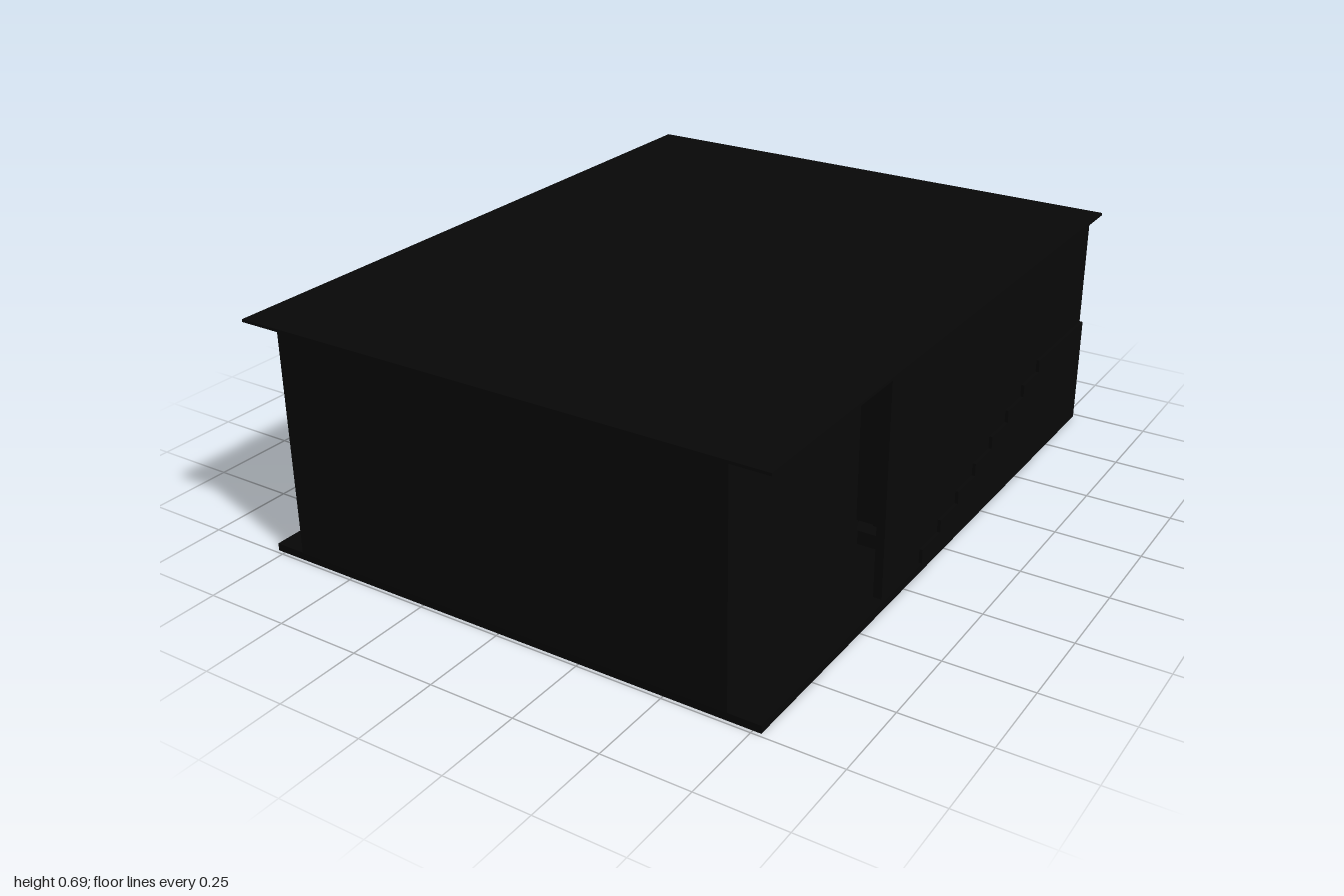
import * as THREE from 'three';

export function createModel() {
  const model = new THREE.Group();
  model.name = 'auditorium';
  const shell = new THREE.MeshStandardMaterial({ color: 0x080808 });
  shell.name = 'near black';
  const dark = new THREE.MeshStandardMaterial({ color: 0x060606 });
  dark.name = 'deep black';

  // Box given by its minimum and maximum corners
  function box(name, [x0, y0, z0], [x1, y1, z1], material = shell, parent = model) {
    const mesh = new THREE.Mesh(new THREE.BoxGeometry(x1 - x0, y1 - y0, z1 - z0), material);
    mesh.position.set((x0 + x1) / 2, (y0 + y1) / 2, (z0 + z1) / 2);
    mesh.name = name;
    parent.add(mesh);
  }

  const BACK = -0.985, FRONT = 0.99, T = 0.01;
  const STEPS = 8, RISE = 0.038, RUN = 0.11, FLOOR = 0.022, FIRST = 0.14;
  const stepFront = i => FIRST - i * RUN;
  const stepTop = i => 0.026 + (i + 1) * RISE;

  // Roof, and a flat floor panel set into a shallow rim
  box('roof', [-0.794, 0.682, -1], [0.794, 0.69, 1]);
  box('floor', [-0.68, 0.008, FIRST], [0.68, FLOOR, FRONT - 0.015], dark);
  box('floorFrontRim', [-0.68, 0, FRONT - 0.015], [0.68, FLOOR, FRONT], dark);

  // End walls
  box('screenWall', [-0.68, FLOOR, FRONT - T], [0.68, 0.682, FRONT]);
  box('screen', [-0.6, 0.12, FRONT - T - 0.006], [0.6, 0.58, FRONT - T], dark);
  box('backWall', [-0.763, 0, BACK], [0.763, 0.682, BACK + T]);

  // Stepped outline of the seating bank; shape x runs along -z
  const profile = new THREE.Shape();
  profile.moveTo(-FIRST, 0);
  for (let i = 0; i < STEPS; i++) {
    profile.lineTo(-stepFront(i), stepTop(i));
    profile.lineTo(i === STEPS - 1 ? -BACK : -stepFront(i + 1), stepTop(i));
  }
  profile.lineTo(-BACK, 0);
  const skirtGeometry = new THREE.ExtrudeGeometry(profile, { depth: T, bevelEnabled: false });
  skirtGeometry.rotateY(Math.PI / 2);

  // Side walls, narrower beside the screen, with a doorway in each return
  for (const s of [-1, 1]) {
    const span = (name, a, b, y0, z0, y1, z1, material) =>
      box(name, [Math.min(s * a, s * b), y0, z0], [Math.max(s * a, s * b), y1, z1], material);
    span('floorSideRim', 0.68, 0.773, 0, FIRST, FLOOR, FRONT, dark);
    span('sideWall', 0.753, 0.763, FLOOR, BACK, 0.682, 0.36);
    span('stageSideWall', 0.67, 0.68, FLOOR, 0.35, 0.682, FRONT);
    span('doorLintel', 0.68, 0.753, 0.235, 0.35, 0.682, 0.36);
    span('doorJamb', 0.738, 0.753, FLOOR, 0.35, 0.235, 0.36);
    const skirt = new THREE.Mesh(skirtGeometry, shell);
    skirt.position.x = s > 0 ? 0.763 : -0.773;
    skirt.name = 'steppedSkirt';
    model.add(skirt);
    // Half-height steps along the side aisle
    for (let i = 0; i < STEPS; i++) {
      const y = stepTop(i) - RISE, z = stepFront(i);
      span('aisleStep', 0.66, 0.753, y, z, y + RISE / 2, z + RUN / 2);
    }
  }

  // Hollow seating steps
  const seatBank = new THREE.Group();
  seatBank.name = 'seatingSteps';
  model.add(seatBank);
  for (let i = 0; i < STEPS; i++) {
    const y = stepTop(i), z = stepFront(i);
    const end = i === STEPS - 1 ? BACK + T : stepFront(i + 1) - T;
    box('tread', [-0.763, y - T, end], [0.763, y, z], shell, seatBank);
    box('riser', [-0.763, y - RISE - T, z - T], [0.763, y - T, z], shell, seatBank);
  }

  // Rows of seats facing the screen, with two inner aisles
  const seats = new THREE.Group();
  seats.name = 'seats';
  model.add(seats);
  for (let row = 0; row < STEPS; row++) {
    const y = stepTop(row), z = stepFront(row) - 0.06;
    for (let c = -9; c <= 9; c++) {
      if (Math.abs(c) === 5) continue;
      const x = c * 0.068;
      box('seatFoot', [x - 0.012, y - 0.018, z - 0.015], [x + 0.012, y + 0.025, z + 0.015], dark, seats);
      box('seatCushion', [x - 0.028, y + 0.025, z - 0.025], [x + 0.028, y + 0.04, z + 0.03], dark, seats);
      box('seatBack', [x - 0.028, y + 0.025, z - 0.037], [x + 0.028, y + 0.09, z - 0.025], dark, seats);
    }
  }
  return model;
}
